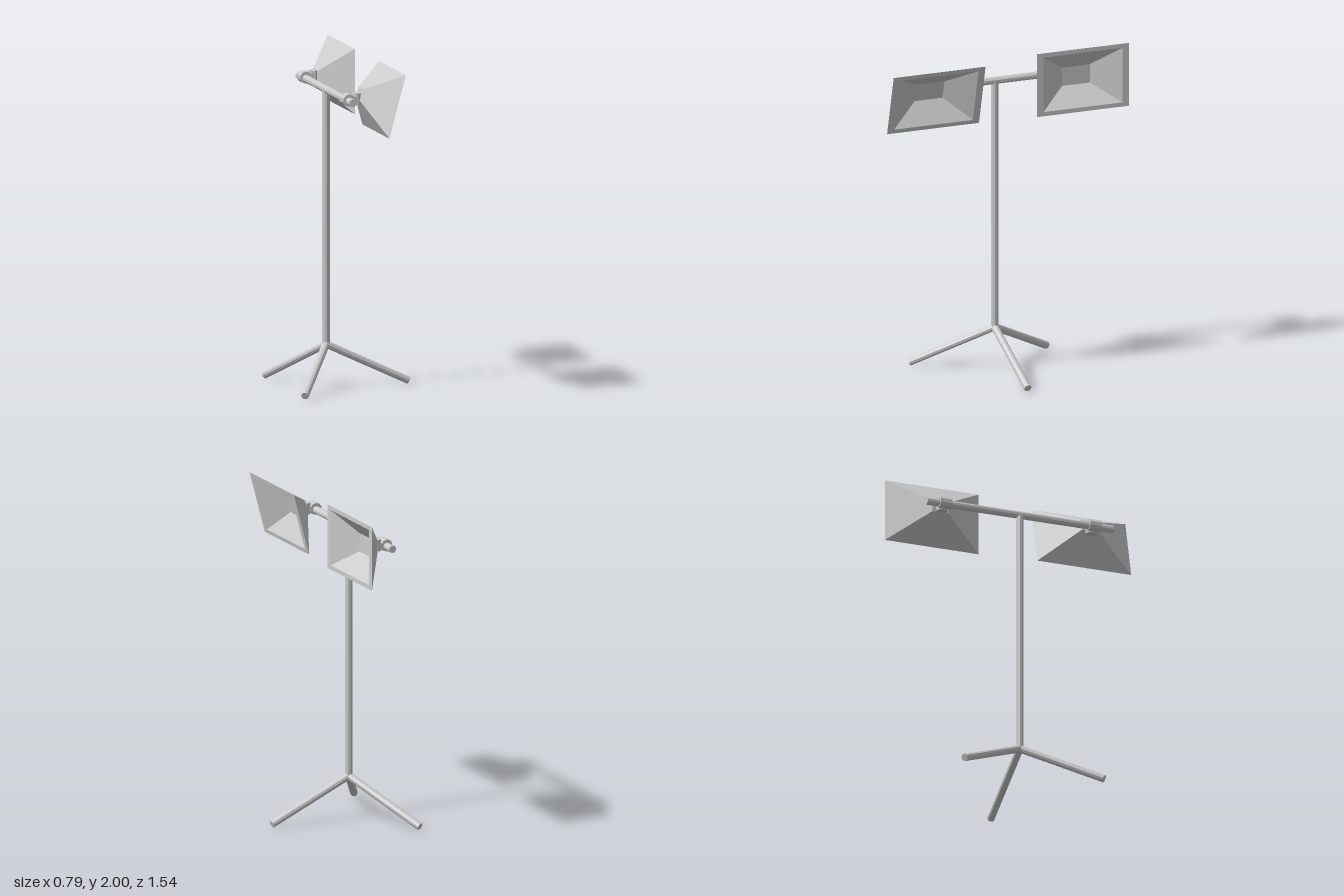
import * as THREE from 'three';

const material = new THREE.MeshStandardMaterial({ color: 0xcccccc, flatShading: true });
const POLE_X = -0.13, BAR_Y = 1.8, TUBE_R = 0.023;

function addMesh(parent, name, geometry) {
  const mesh = new THREE.Mesh(geometry, material);
  mesh.name = name;
  parent.add(mesh);
  return mesh;
}

// Round tube between two points
function tube(parent, name, a, b, radius = TUBE_R) {
  const dir = b.clone().sub(a);
  const mesh = addMesh(parent, name, new THREE.CylinderGeometry(radius, radius, dir.length(), 10));
  mesh.position.copy(a).add(b).multiplyScalar(0.5);
  mesh.quaternion.setFromUnitVectors(new THREE.Vector3(0, 1, 0), dir.normalize());
  return mesh;
}

// Hollow rectangular reflector opening towards +x
function reflectorGeometry() {
  // x, half height, half width: outer back, outer rim, inner rim, inner floor
  const rings = [[-0.1, 0.037, 0.053], [0.058, 0.196, 0.297], [0.058, 0.17, 0.255], [-0.05, 0.057, 0.09]]
    .map(([x, h, w]) => [[x, h, w], [x, h, -w], [x, -h, -w], [x, -h, w]]);
  const positions = [];
  const quad = (a, b, c, d) => positions.push(...a, ...b, ...c, ...a, ...c, ...d);
  for (let i = 0; i < 3; i++) {
    for (let k = 0; k < 4; k++) {
      const n = (k + 1) % 4;
      quad(rings[i][k], rings[i + 1][k], rings[i + 1][n], rings[i][n]);
    }
  }
  quad(...rings[0]);
  quad(...rings[3].slice().reverse());
  const geometry = new THREE.BufferGeometry();
  geometry.setAttribute('position', new THREE.Float32BufferAttribute(positions, 3));
  geometry.computeVertexNormals();
  return geometry;
}

// Clamp, swivel and reflector at one end of the crossbar
function createLamp(name, z, tilt) {
  const lamp = new THREE.Group();
  lamp.name = name;
  lamp.position.set(0, BAR_Y, z);

  const clamp = addMesh(lamp, 'clamp', new THREE.CylinderGeometry(0.037, 0.037, 0.075, 10));
  clamp.rotation.x = Math.PI / 2;
  clamp.position.x = POLE_X;

  const bracket = addMesh(lamp, 'bracket', new THREE.BoxGeometry(0.05, 0.04, 0.07));
  bracket.position.x = -0.105;

  const swivel = addMesh(lamp, 'swivel', new THREE.CylinderGeometry(0.035, 0.035, 0.07, 10));
  swivel.position.set(-0.072, 0.004, 0);

  const reflector = addMesh(lamp, 'reflector', reflectorGeometry());
  reflector.position.set(0.04, 0.005, 0);
  reflector.rotation.z = -tilt;
  return lamp;
}

export function createModel() {
  const model = new THREE.Group();
  model.name = 'floodlightStand';

  // Upright and crossbar
  const hub = new THREE.Vector3(POLE_X, 0.26, 0);
  tube(model, 'pole', hub, new THREE.Vector3(POLE_X, BAR_Y, 0));
  tube(model, 'crossbar', new THREE.Vector3(POLE_X, BAR_Y - 0.005, -0.59), new THREE.Vector3(POLE_X, BAR_Y - 0.005, 0.59));

  // Tripod legs, one pointing to +x
  for (let i = 0; i < 3; i++) {
    const angle = (i * Math.PI * 2) / 3;
    const foot = new THREE.Vector3(POLE_X + 0.51 * Math.cos(angle), 0.021, 0.51 * Math.sin(angle));
    tube(model, 'leg' + (i + 1), hub, foot);
  }

  // One lamp level, the other tipped down
  model.add(createLamp('levelLamp', -0.475, 0));
  model.add(createLamp('tiltedLamp', 0.472, THREE.MathUtils.degToRad(15)));
  return model;
}
